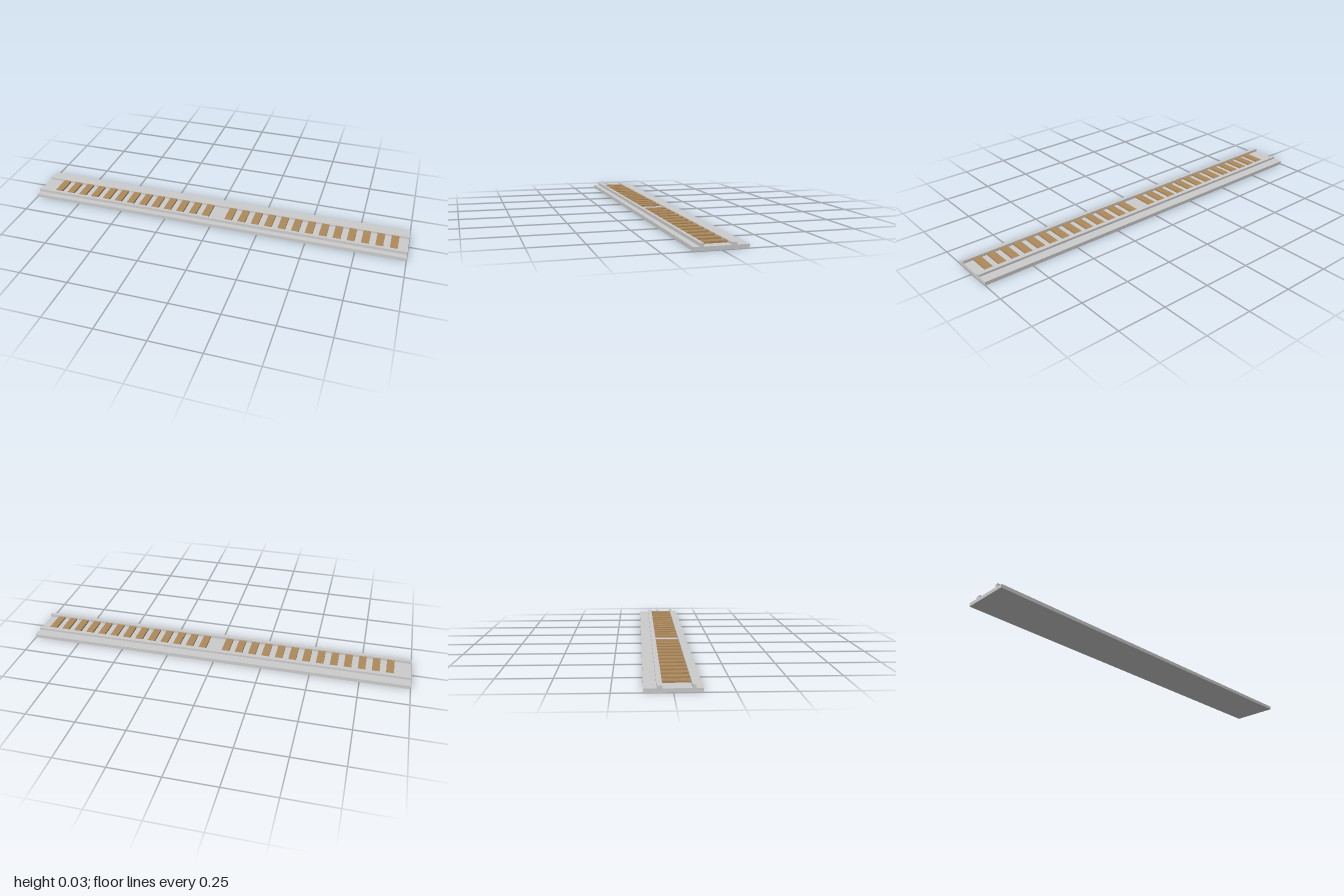
import * as THREE from 'three';

const LENGTH = 2;
const BED_TOP = 0.018;
const REAR_EDGE = -0.044; // inner face of the rear rail
const FRONT_EDGE = 0.076; // inner face of the front rail

export function createModel() {
  const group = new THREE.Group();
  const grey = new THREE.MeshStandardMaterial({ color: 0xcccccc });
  const wood = new THREE.MeshStandardMaterial({ color: 0xae8a5c });

  // Box given by its centre x, length and its y and z ranges
  const addBox = (name, x, length, [y0, y1], [z0, z1], material) => {
    const mesh = new THREE.Mesh(new THREE.BoxGeometry(length, y1 - y0, z1 - z0), material);
    mesh.position.set(x, (y0 + y1) / 2, (z0 + z1) / 2);
    mesh.name = name;
    group.add(mesh);
  };

  // Flat track bed
  addBox('trackBed', 0, LENGTH, [0, BED_TOP], [-0.12, 0.12], grey);

  // Narrow tall front rail and wide low rear rail
  addBox('frontRail', 0, LENGTH, [BED_TOP, 0.033], [FRONT_EDGE, 0.091], grey);
  addBox('rearRail', 0, LENGTH, [BED_TOP, 0.029], [-0.067, REAR_EDGE], grey);

  // Two runs of wooden sleepers with a gap between them
  for (const start of [-0.895, 0.081]) {
    for (let i = 0; i < 13; i++) {
      addBox('sleeper', start + i * 0.0709, 0.038, [BED_TOP, 0.027], [REAR_EDGE, FRONT_EDGE], wood);
    }
  }

  return group;
}
